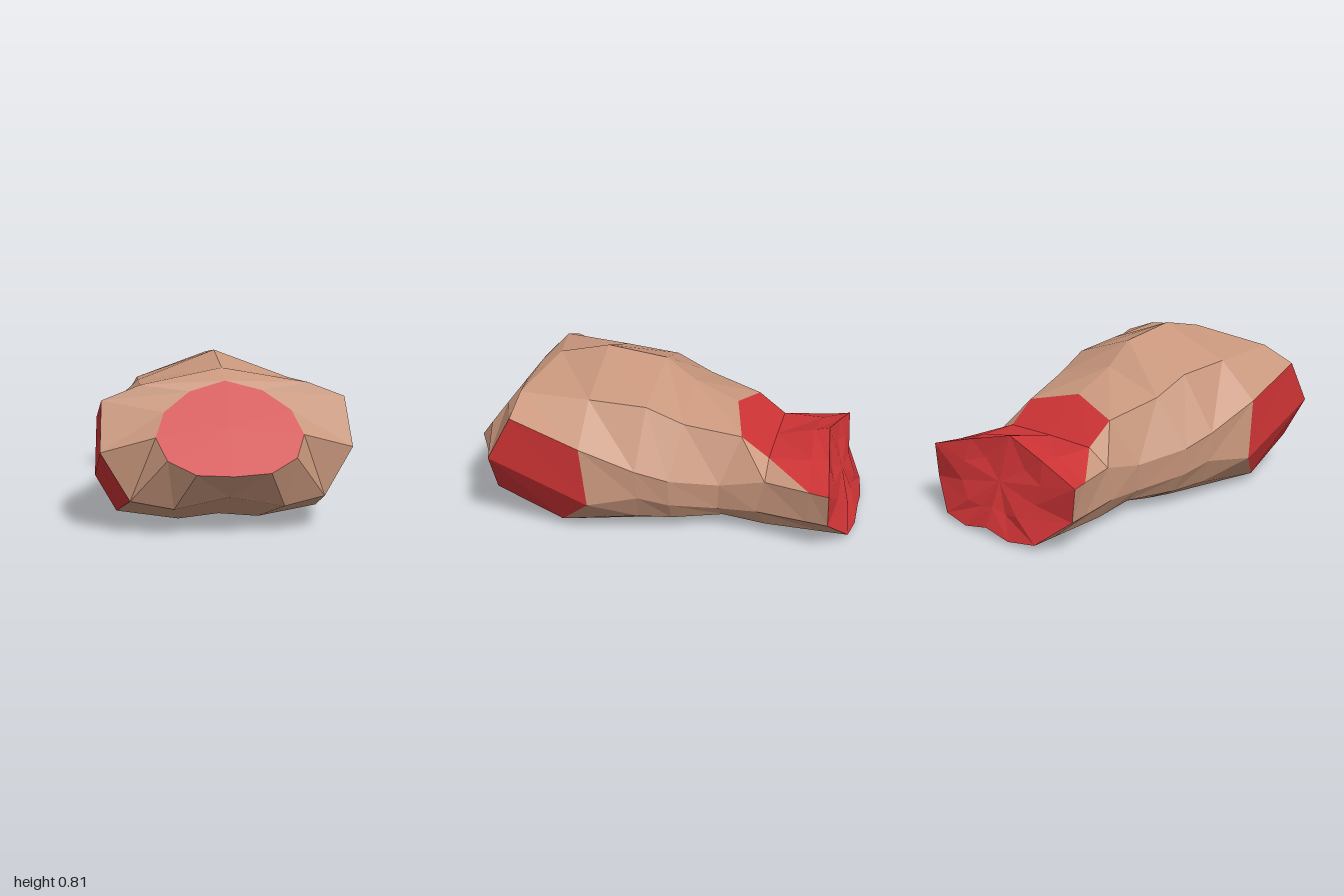
import * as THREE from 'three';

const tan = new THREE.MeshStandardMaterial({ color: 0xc8967c, flatShading: true });
tan.name = 'tan';
const red = new THREE.MeshStandardMaterial({ color: 0xcd3335, flatShading: true });
red.name = 'red';

// Half cross-section: top centre, five points down the side, and a bottom centre raised by lift
function section(topY, topZ, side, lift) {
  const [, y, z] = side[4];
  return [[0, topY, topZ], ...side, [0, y + lift, z]];
}

// Section part-way between two others, scaled in width and height
function between(a, b, t, width, height) {
  return a.map((p, j) => {
    const [x, y, z] = p.map((v, k) => v + (b[j][k] - v) * t);
    return [x * width, y * height, z];
  });
}

// Neck rim: an oval on a plane leaning back
function neckRim() {
  return Array.from({ length: 7 }, (_, j) => {
    const angle = j * Math.PI / 6;
    const y = .505 + .2 * Math.cos(angle) - .035 * Math.sin(angle);
    return [.345 * Math.sin(angle), y, .70 + (.705 - y) * .75];
  });
}

const shoulderFront = section(.755, .60,
  [[.40, .69, .69], [.58, .62, .69], [.595, .395, .81], [.46, .165, .82], [.26, .13, .86]], .05);
const shoulderBack = section(.815, .34,
  [[.38, .67, .34], [.585, .49, .34], [.595, .19, .30], [.50, .04, .46], [.20, 0, .50]], .02);
const ribs = section(.775, .03,
  [[.36, .65, .05], [.53, .37, .07], [.52, .22, .06], [.46, .085, .07], [.30, 0, 0]], 0);
const belly = section(.565, -.35,
  [[.275, .50, -.42], [.385, .27, -.33], [.37, .13, -.32], [.32, .07, -.34], [.22, .035, -.35]], 0);
const hollow = section(.40, -.56,
  [[.27, .395, -.56], [.39, .32, -.56], [.385, .145, -.52], [.33, .05, -.56], [.22, .02, -.60]], 0);
const waistRim = section(.465, -.83,
  [[.25, .40, -.86], [.49, .33, -.89], [.47, .16, -.89], [.31, .03, -.98], [.15, .01, -1]], .03);

const rings = [
  neckRim(), shoulderFront, shoulderBack, ribs, between(ribs, belly, .4, 1.04, .96),
  belly, hollow, between(hollow, waistRim, .7, 1, 1), waistRim,
];

// Which part a triangle between ring i and i + 1 belongs to
function partOf(i, j, second) {
  if (i === 1 && (j === 2 || j === 3)) return 'ShoulderOpening';
  const waist = (i >= 5 && j === 0) || (i === 7 && j === 1) || (i === 6 && j === 1 && second);
  return waist ? 'waistTop' : 'torso';
}

export function createModel() {
  const group = new THREE.Group();
  group.name = 'lowPolyTorso';
  const parts = {};

  // Adds a triangle and its mirror image; shoulder openings are kept apart by side
  function addPair(name, a, b, c) {
    const flip = ([x, y, z]) => [-x, y, z];
    const paired = name === 'ShoulderOpening';
    (parts[paired ? 'left' + name : name] ??= []).push(...a, ...b, ...c);
    (parts[paired ? 'right' + name : name] ??= []).push(...flip(a), ...flip(c), ...flip(b));
  }

  // Skin lofted between the cross-sections
  for (let i = 0; i < rings.length - 1; i++) {
    for (let j = 0; j < 6; j++) {
      const a = rings[i][j], b = rings[i][j + 1];
      const c = rings[i + 1][j + 1], d = rings[i + 1][j];
      addPair(partOf(i, j, false), a, b, c);
      addPair(partOf(i, j, true), a, c, d);
    }
  }

  // Flat neck cap, and a sloping waist cap with shallow creases
  const neckCentre = [0, .505, .85];
  const waistCentre = [0, .25, -.905];
  const inner = waistRim.map(([x, y], j) => {
    const innerY = y * .55 + .11;
    return [x * .55, innerY, -.825 - (.465 - innerY) * .4 + (j % 2) * .015];
  });
  for (let j = 0; j < 6; j++) {
    addPair('neckOpening', neckCentre, rings[0][j + 1], rings[0][j]);
    addPair('waistEnd', waistRim[j], waistRim[j + 1], inner[j + 1]);
    addPair('waistEnd', waistRim[j], inner[j + 1], inner[j]);
    addPair('waistEnd', inner[j], inner[j + 1], waistCentre);
  }

  for (const [name, points] of Object.entries(parts)) {
    const geometry = new THREE.BufferGeometry();
    geometry.setAttribute('position', new THREE.Float32BufferAttribute(points, 3));
    geometry.computeVertexNormals();
    const mesh = new THREE.Mesh(geometry, name === 'torso' ? tan : red);
    mesh.name = name;
    group.add(mesh);
  }
  return group;
}
